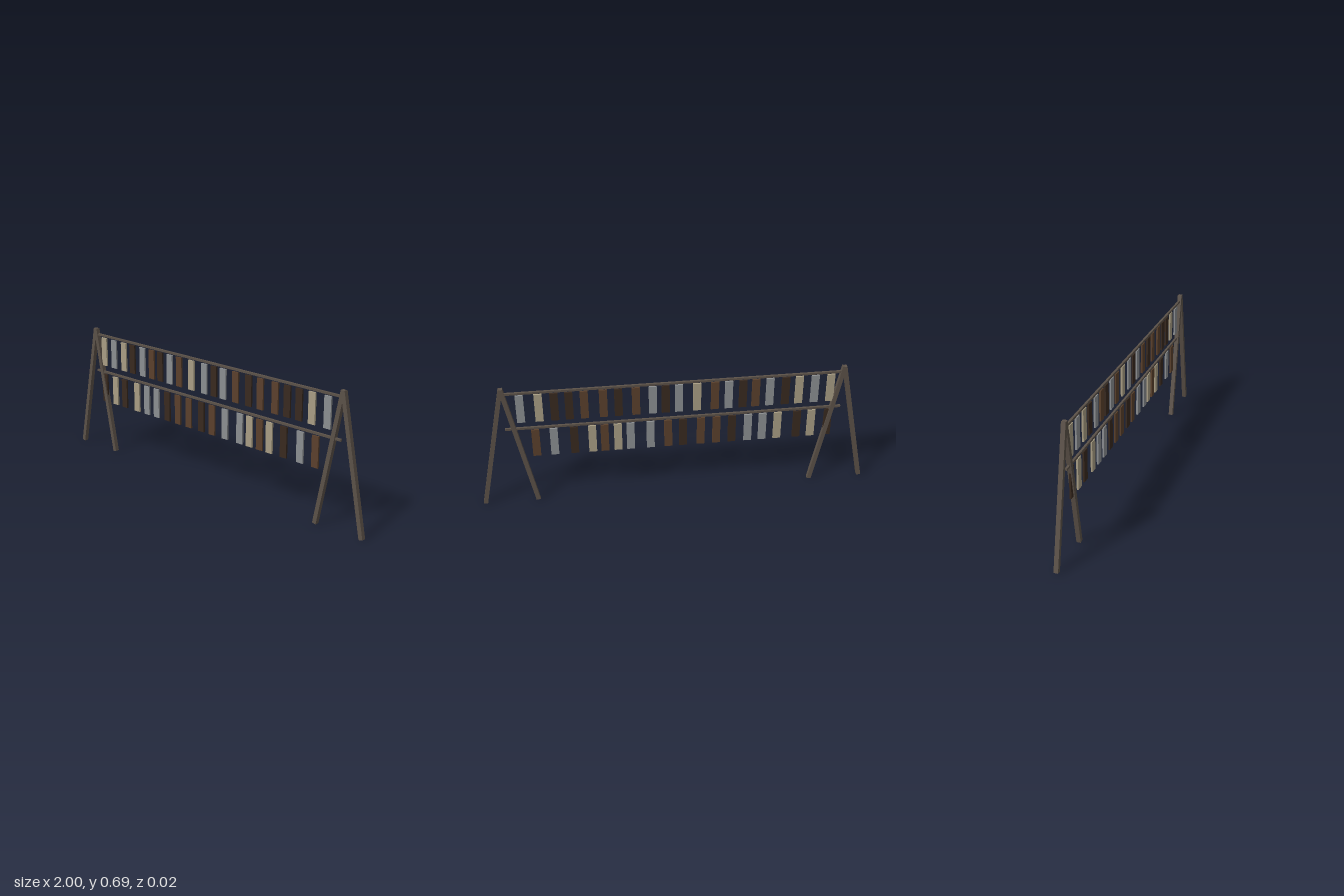
import * as THREE from 'three';

const material = (name, color) => {
  const m = new THREE.MeshStandardMaterial({ color });
  m.name = name;
  return m;
};

export function createModel() {
  const frameMat = material('weathered frame', 0x5b5148);
  const plateMats = {
    t: material('tan', 0xa89d84),
    g: material('grey', 0x8b8e91),
    d: material('dark brown', 0x38291f),
    b: material('brown', 0x5a402c),
  };
  const model = new THREE.Group();
  model.name = 'hangingRack';

  const box = (name, parent, mat, size, x, y, tilt = 0) => {
    const mesh = new THREE.Mesh(new THREE.BoxGeometry(...size), mat);
    mesh.name = name;
    mesh.position.set(x, y, 0);
    mesh.rotation.z = tilt;
    parent.add(mesh);
  };

  // A-shaped trestles at both ends
  const apexX = 0.853, spread = 0.136, low = 0.0022, high = 0.686;
  const length = Math.hypot(spread, high - low);
  const lean = Math.atan2(spread, high - low);
  for (const side of [-1, 1]) {
    const trestle = new THREE.Group();
    trestle.name = side > 0 ? 'leftTrestle' : 'rightTrestle';
    for (const dir of [-1, 1]) {
      box('leg', trestle, frameMat, [0.022, length, 0.022],
        side * apexX + dir * spread / 2, (low + high) / 2, dir * lean);
    }
    model.add(trestle);
  }

  // Two rails, each with a row of unevenly spaced hanging plates
  const rows = [
    {
      name: 'upperRow', rail: 0.655, plate: 0.564, colours: 'tgtdgbdgbtgdgbdbbddtg',
      xs: [-0.789, -0.709, -0.628, -0.559, -0.479, -0.407, -0.342, -0.27, -0.2, -0.11, -0.019,
        0.048, 0.112, 0.196, 0.283, 0.358, 0.452, 0.527, 0.599, 0.676, 0.767],
    },
    {
      name: 'lowerRow', rail: 0.449, plate: 0.357, colours: 'dtdtggdbbdbggtbtdgb',
      xs: [-0.789, -0.703, -0.628, -0.527, -0.449, -0.374, -0.291, -0.211, -0.131, -0.04, 0.036,
        0.126, 0.227, 0.291, 0.358, 0.42, 0.511, 0.612, 0.703],
    },
  ];
  for (const { name, rail, plate, colours, xs } of rows) {
    const row = new THREE.Group();
    row.name = name;
    box('rail', row, frameMat, [1.7, 0.011, 0.011], 0, rail);
    xs.forEach((x, i) => box('plate', row, plateMats[colours[i]], [0.04, 0.157, 0.009], x, plate));
    model.add(row);
  }
  return model;
}
